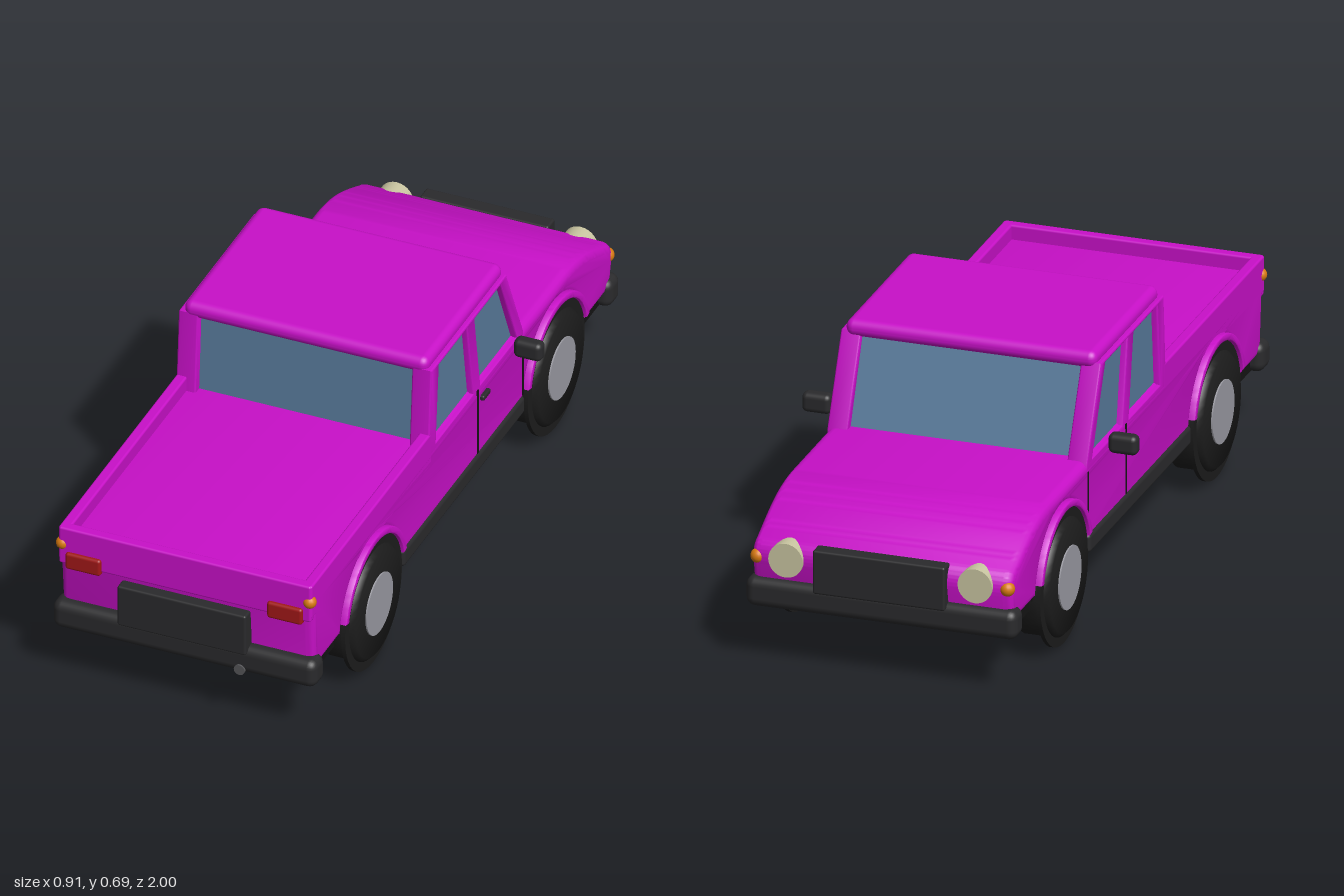
import * as THREE from 'three';
import { RoundedBoxGeometry } from 'three/addons/geometries/RoundedBoxGeometry.js';
import { toCreasedNormals } from 'three/addons/utils/BufferGeometryUtils.js';

const mat = (color, side = THREE.FrontSide) => new THREE.MeshStandardMaterial({ color, side });

export function createModel() {
  const truck = new THREE.Group();
  truck.name = 'pickupTruck';
  const paint = mat(0xc810c8), trim = mat(0x2a2a2c), rubber = mat(0x1c1c1c), under = mat(0x141414),
    glass = mat(0x587a9b), hubMat = mat(0x9a9aa2), red = mat(0xa01818), amber = mat(0xd87a10), lamp = mat(0xc8c4a0),
    steel = mat(0x555558), well = mat(0x141414, THREE.DoubleSide);

  const add = (name, geo, material, x = 0, y = 0, z = 0) => {
    const mesh = new THREE.Mesh(geo, material);
    mesh.name = name;
    mesh.position.set(x, y, z);
    truck.add(mesh);
    return mesh;
  };
  // box given by its extents, with optional rounded edges
  const box = (name, material, [x0, x1], [y0, y1], [z0, z1], r = 0) => {
    const s = [x1 - x0, y1 - y0, z1 - z0];
    const geo = r ? new RoundedBoxGeometry(...s, 3, r) : new THREE.BoxGeometry(...s);
    return add(name, geo, material, (x0 + x1) / 2, (y0 + y1) / 2, (z0 + z1) / 2);
  };
  const poly = pts => new THREE.Shape(pts.map(p => new THREE.Vector2(...p)));
  // side profile (forward = -z, up = y) extruded across x, centred on its own x
  const across = (shape, width, bevel = 0) => {
    const geo = new THREE.ExtrudeGeometry(shape, {
      depth: width - 2 * bevel, bevelEnabled: bevel > 0, bevelSize: bevel, bevelThickness: bevel,
      bevelOffset: -bevel, bevelSegments: 4, curveSegments: 24,
    });
    geo.translate(0, 0, -(width - 2 * bevel) / 2).rotateY(Math.PI / 2);
    return toCreasedNormals(geo, 0.6);
  };

  // lower body with hood and wheel openings
  const axle = 0.59, wheelY = 0.188, archR = 0.187;
  const body = new THREE.Shape();
  body.moveTo(-0.955, 0.2);
  body.lineTo(-0.975, 0.43);
  body.lineTo(0.68, 0.427);
  body.bezierCurveTo(0.8, 0.425, 0.88, 0.375, 0.95, 0.345);
  body.quadraticCurveTo(0.985, 0.33, 0.978, 0.28);
  body.lineTo(0.96, 0.2);
  const a = Math.asin((0.2 - wheelY) / archR);
  body.absarc(axle, wheelY, archR, a, Math.PI - a, false);
  body.absarc(-axle, wheelY, archR, a, Math.PI - a, false);
  add('body', across(body, 0.71, 0.025), paint);

  // cargo bed rim
  for (const s of [-1, 1])
    box('bedRail', paint, s > 0 ? [0.325, 0.355] : [-0.355, -0.325], [0.37, 0.47], [0.2, 0.975], 0.006);
  box('tailgate', paint, [-0.353, 0.353], [0.36, 0.47], [0.948, 0.978], 0.006);

  // cab: side frames with window openings around one glass block
  const frame = poly([[-0.22, 0.39], [-0.2, 0.66], [0.285, 0.66], [0.395, 0.42], [0.395, 0.39]]);
  frame.holes.push(
    poly([[-0.17, 0.423], [0.07, 0.423], [0.032, 0.65], [-0.15, 0.65]]),
    poly([[0.118, 0.423], [0.352, 0.423], [0.25, 0.65], [0.08, 0.65]]));
  for (const s of [-1, 1]) add('cabFrame', across(frame, 0.055, 0.005), paint, s * 0.327);
  add('cabGlass', across(poly([[-0.195, 0.4], [-0.178, 0.66], [0.268, 0.66], [0.378, 0.4]]), 0.674), glass);
  box('roof', paint, [-0.342, 0.342], [0.643, 0.69], [-0.295, 0.202], 0.022);

  // wheels, arches and door details on both sides
  for (const s of [-1, 1]) {
    const span = (p, q) => s > 0 ? [p, q] : [-q, -p];
    for (const z of [-axle, axle]) {
      const cyl = (name, r, x0, x1, m) =>
        add(name, new THREE.CylinderGeometry(r, r, x1 - x0, 40).rotateZ(Math.PI / 2), m, s * (x0 + x1) / 2, wheelY, z);
      const w = 0.054, r = 0.158;
      const profile = [[0, -w], [r - 0.012, -w], [r, -w + 0.012], [r, w - 0.012], [r - 0.012, w], [0, w]];
      add('tire', toCreasedNormals(new THREE.LatheGeometry(profile.map(p => new THREE.Vector2(...p)), 40), 0.9)
        .rotateZ(Math.PI / 2), rubber, s * 0.321, wheelY, z);
      cyl('tireRing', 0.184, 0.35, 0.361, rubber);
      cyl('hubcap', 0.085, 0.36, 0.379, hubMat);
      // raised lip over the opening
      const lip = new THREE.Shape();
      lip.absarc(0, 0, 0.203, 0.25, Math.PI - 0.25, false);
      lip.absarc(0, 0, 0.184, Math.PI - 0.25, 0.25, true);
      add('archLip', across(lip, 0.036, 0.004), paint, s * 0.353, wheelY, z);
    }
    box('sill', trim, span(0.3, 0.362), [0.172, 0.226], [-0.39, 0.395], 0.012);
    for (const z of [-0.095, -0.388])
      box('doorSeam', under, span(0.345, 0.357), [0.225, z < -0.2 ? 0.4 : 0.42], [z - 0.004, z + 0.004]);
    box('doorHandle', trim, span(0.35, 0.366), [0.376, 0.391], [-0.158, -0.113], 0.005);
    box('mirror', trim, span(0.378, 0.457), [0.421, 0.475], [-0.306, -0.266], 0.015);

    // lights
    box('tailLight', red, span(0.233, 0.332), [0.351, 0.4], [0.95, 0.988], 0.008);
    add('rearIndicator', new THREE.SphereGeometry(0.018, 16, 12), amber, s * 0.346, 0.418, 0.967);
    add('frontIndicator', new THREE.SphereGeometry(0.02, 16, 12), amber, s * 0.34, 0.298, -0.966);
    add('headlight', new THREE.CylinderGeometry(0.047, 0.047, 0.05, 28).rotateX(Math.PI / 2), lamp, s * 0.258, 0.302, -0.962);
  }

  // bumpers and end panels
  for (const s of [-1, 1]) {
    const span = (p, q) => s > 0 ? [p, q] : [-q, -p];
    box('bumper', trim, [-0.37, 0.37], [0.16, 0.242], span(0.918, 0.99), 0.025);
    box(s > 0 ? 'rearPanel' : 'grille', trim, [-0.18, 0.18], [0.225, 0.346], span(0.955, 1), 0.006);
    // dark lining of the wheel tunnel
    const lining = new THREE.CylinderGeometry(0.1835, 0.1835, 0.68, 32, 1, true, 0, Math.PI);
    lining.rotateZ(Math.PI / 2);
    lining.computeBoundingBox();
    if (lining.boundingBox.max.y < 0.1) lining.rotateX(lining.boundingBox.max.z > 0.1 ? -Math.PI / 2 : Math.PI / 2);
    add('wheelWell', lining, well, 0, wheelY, s * axle);
    box('endUnderbody', under, [-0.335, 0.335], [0.165, 0.215], span(0.785, 0.93));
  }

  // underside
  box('underbody', under, [-0.345, 0.345], [0.165, 0.215], [-0.4, 0.4]);
  box('chassis', under, [-0.26, 0.26], [0.163, 0.3], [-0.88, 0.9]);
  box('fuelTank', trim, [-0.12, 0.13], [0.141, 0.18], [0.02, 0.22], 0.012);
  box('gearboxCover', trim, [-0.2, -0.12], [0.15, 0.18], [0.0, 0.18], 0.01);
  box('enginePan', trim, [-0.1, 0.12], [0.155, 0.18], [-0.6, -0.42], 0.008);
  const along = (r, l) => new THREE.CylinderGeometry(r, r, l, 20).rotateX(Math.PI / 2);
  add('muffler', along(0.03, 0.2), trim, 0.16, 0.174, 0.72);
  add('exhaustPipe', along(0.015, 0.35), steel, 0.16, 0.174, 0.82);
  return truck;
}
